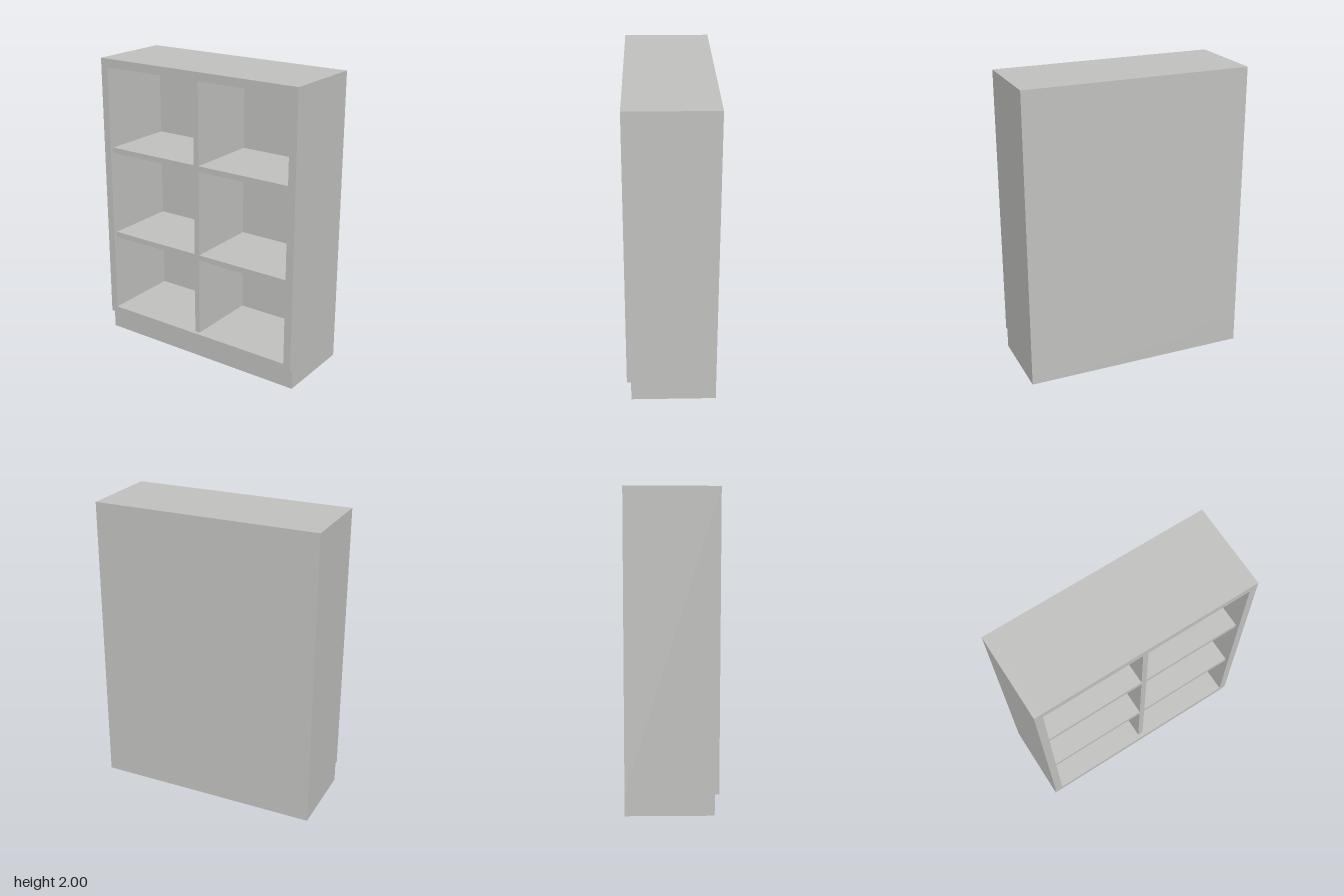
import * as THREE from 'three';

export function createModel() {
  const group = new THREE.Group();
  const grey = new THREE.MeshStandardMaterial({ color: 0xc0c0be });
  grey.name = 'warm grey';

  const W = 0.765, D = 0.29;            // half width, half depth
  const innerX = 0.712, innerTop = 1.942;
  const floorY = 0.18, plinthTop = 0.135;
  const backZ = -0.255, recessZ = 0.263; // back panel face, set-back front edge

  // Box given by its limits on each axis
  const board = (name, x0, x1, y0, y1, z0, z1) => {
    const mesh = new THREE.Mesh(new THREE.BoxGeometry(x1 - x0, y1 - y0, z1 - z0), grey);
    mesh.position.set((x0 + x1) / 2, (y0 + y1) / 2, (z0 + z1) / 2);
    mesh.name = name;
    group.add(mesh);
  };

  // Outer case
  board('rightSide', -W, -innerX, plinthTop, 2, -D, D);
  board('leftSide', innerX, W, plinthTop, 2, -D, D);
  board('topBoard', -innerX, innerX, innerTop, 2, -D, D);
  board('bottomBoard', -innerX, innerX, plinthTop, floorY, -D, D);
  board('backPanel', -innerX, innerX, floorY, innerTop, -D, backZ);

  // Plinth set back under the front edge
  board('plinth', -W, W, 0, plinthTop, -D, recessZ);

  // Central divider, with shelves on both sides
  const half = 0.019;
  board('divider', -half, half, floorY, innerTop, backZ, recessZ);
  for (const [y0, y1] of [[0.719, 0.758], [1.343, 1.381]]) {
    board('rightShelf', -innerX, -half, y0, y1, backZ, recessZ);
    board('leftShelf', half, innerX, y0, y1, backZ, recessZ);
  }

  return group;
}
